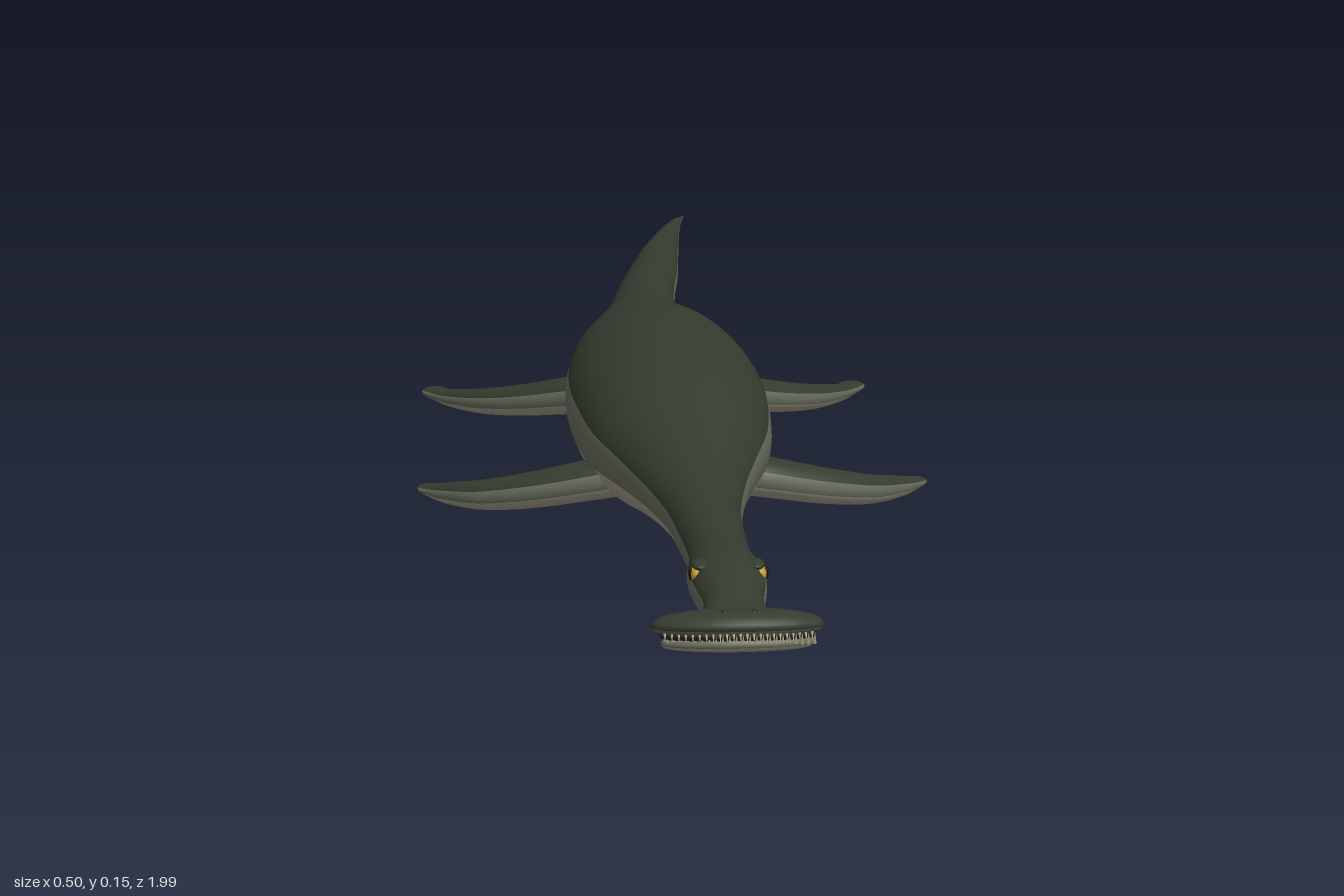
import * as THREE from 'three';

const mat = (name, color) => Object.assign(new THREE.MeshStandardMaterial({ color }), { name });

// Smooth tube through stations [x, y, z, half width, half height],
// split lengthwise into back, flank and belly bands (one material each).
function loft(name, stations, steps, mats, bandLow = -15, bandHigh = 15, segs = 48) {
  const path = new THREE.CatmullRomCurve3(stations.map(s => new THREE.Vector3(s[0], s[1], s[2])), false, 'catmullrom', 0.5);
  const size = new THREE.CatmullRomCurve3(stations.map(s => new THREE.Vector3(s[3], s[4], 0)), false, 'catmullrom', 0.5);
  const pos = [];
  for (let i = 0; i <= steps; i++) {
    const t = i / steps, p = path.getPoint(t), r = size.getPoint(t);
    const d = path.getTangent(t).setY(0).normalize();
    const w = Math.max(r.x, 0.0004), h = Math.max(r.y, 0.0004);
    for (let j = 0; j < segs; j++) {
      const a = (j / segs) * Math.PI * 2, c = Math.cos(a) * w;
      pos.push(p.x + d.z * c, p.y + Math.sin(a) * h, p.z - d.x * c);
    }
  }
  const bands = [[], [], []];
  for (let j = 0; j < segs; j++) {
    const deg = THREE.MathUtils.radToDeg(Math.asin(Math.sin(((j + 0.5) / segs) * Math.PI * 2)));
    const band = bands[deg > bandHigh ? 0 : deg > bandLow ? 1 : 2];
    for (let i = 0; i < steps; i++) {
      const k = (j + 1) % segs, a = i * segs + j, b = i * segs + k;
      band.push(a, b, a + segs, b, b + segs, a + segs);
    }
  }
  const geo = new THREE.BufferGeometry();
  geo.setAttribute('position', new THREE.Float32BufferAttribute(pos, 3));
  geo.setIndex(bands.flat());
  let start = 0;
  bands.forEach((b, m) => { geo.addGroup(start, b.length, m); start += b.length; });
  geo.computeVertexNormals();
  const mesh = new THREE.Mesh(geo, mats);
  mesh.name = name;
  return mesh;
}

export function createModel() {
  const root = new THREE.Group();
  root.name = 'swimmingReptile';
  const back = mat('dark green back', 0x353c2f);
  const flank = mat('grey green flank', 0x666c5b);
  const belly = mat('pale belly', 0xa09a88);
  const mouth = mat('dark mouth', 0x2a2620);
  const tooth = mat('ivory teeth', 0xb9b196);
  const eye = mat('amber eye', 0xc2962a);
  const pupil = mat('black pupil', 0x0d0d0b);
  const skin = [back, flank, belly];

  // Head, neck, trunk and tail in one skin
  root.add(loft('body', [
    [0, 0.08, 0.978, 0.022, 0.01],
    [0, 0.081, 0.95, 0.028, 0.016],
    [0, 0.083, 0.92, 0.026, 0.02],
    [0, 0.087, 0.88, 0.031, 0.025],
    [0, 0.088, 0.84, 0.033, 0.026],
    [0, 0.086, 0.78, 0.028, 0.025],
    [0, 0.083, 0.68, 0.03, 0.026],
    [0, 0.081, 0.6, 0.034, 0.029],
    [0, 0.079, 0.5, 0.047, 0.037],
    [0, 0.078, 0.4, 0.066, 0.049],
    [0, 0.077, 0.3, 0.086, 0.064],
    [0, 0.077, 0.2, 0.096, 0.074],
    [0, 0.077, 0.1, 0.1, 0.077],
    [0, 0.077, 0, 0.096, 0.075],
    [0, 0.076, -0.1, 0.085, 0.068],
    [0, 0.075, -0.2, 0.066, 0.055],
    [0.003, 0.075, -0.3, 0.047, 0.043],
    [0.008, 0.076, -0.4, 0.036, 0.036],
    [0.018, 0.077, -0.5, 0.032, 0.029],
    [0.031, 0.078, -0.6, 0.029, 0.023],
    [0.046, 0.079, -0.72, 0.023, 0.017],
    [0.063, 0.08, -0.84, 0.015, 0.011],
    [0.08, 0.08, -0.94, 0.007, 0.006],
    [0.095, 0.08, -1, 0.0005, 0.0005],
  ], 120, skin));

  // Hammer-shaped jaws: bars running across the snout
  const jawBar = (name, y, z, span, depth, height, mats) => {
    const rows = [-1, -0.94, -0.8, -0.55, -0.25, 0, 0.25, 0.55, 0.8, 0.94, 1].map(u => {
      const f = Math.sqrt(1 - u * u);
      return [u * span, y - 0.005 * u * u, z - 0.014 * u * u, depth * Math.pow(f, 0.8), height * Math.pow(f, 0.7)];
    });
    return loft(name, rows, 48, mats, -15, 15, 24);
  };
  root.add(jawBar('upperJaw', 0.085, 0.97, 0.07, 0.022, 0.011, [back, back, flank]));
  root.add(jawBar('mouthLining', 0.077, 0.969, 0.064, 0.018, 0.008, [mouth, mouth, mouth]));
  root.add(jawBar('lowerJaw', 0.069, 0.966, 0.062, 0.02, 0.009, [flank, flank, belly]));

  // Comb of small teeth along the front edge
  const teeth = new THREE.Group();
  teeth.name = 'teeth';
  const coneGeo = new THREE.ConeGeometry(0.0019, 0.012, 6);
  const count = 23;
  for (let i = 0; i < count; i++) {
    const u = (i / (count - 1)) * 2 - 1;
    for (const upper of [true, false]) {
      const t = new THREE.Mesh(coneGeo, tooth);
      t.name = upper ? 'upperTooth' : 'lowerTooth';
      t.position.set(u * 0.06 + (upper ? 0 : 0.0025), (upper ? 0.078 : 0.074) - 0.004 * u * u,
        0.99 - 0.02 * u * u - (upper ? 0 : 0.004));
      t.rotation.x = upper ? Math.PI - 0.6 : 0.5;
      teeth.add(t);
    }
  }
  root.add(teeth);

  for (const s of [1, -1]) {
    const side = s > 0 ? 'left' : 'right';

    // Eye with a slit pupil and a brow above it
    const ball = new THREE.SphereGeometry(1, 20, 14);
    const part = (name, m, p, sc) => {
      const mesh = new THREE.Mesh(ball, m);
      mesh.name = side + name;
      mesh.position.set(s * p[0], p[1], p[2]);
      mesh.scale.set(...sc);
      root.add(mesh);
    };
    part('Eye', eye, [0.0265, 0.099, 0.866], [0.006, 0.0065, 0.009]);
    part('Pupil', pupil, [0.0315, 0.0995, 0.868], [0.0018, 0.005, 0.0025]);
    part('Brow', back, [0.0235, 0.106, 0.862], [0.007, 0.004, 0.014]);
    part('Nostril', mouth, [0.012, 0.0945, 0.975], [0.003, 0.002, 0.003]);

    // Swept-back paddle limbs
    const limb = (name, rows) => root.add(loft(side + name, rows.map(r => [s * r[0], ...r.slice(1)]), 40, skin, -20, 20, 32));
    limb('FrontFlipper', [
      [0.045, 0.055, 0.292, 0.026, 0.022],
      [0.09, 0.045, 0.284, 0.025, 0.02],
      [0.14, 0.033, 0.268, 0.021, 0.018],
      [0.185, 0.023, 0.243, 0.017, 0.015],
      [0.218, 0.018, 0.214, 0.012, 0.011],
      [0.234, 0.017, 0.197, 0.011, 0.007],
      [0.242, 0.018, 0.188, 0.011, 0.004],
      [0.248, 0.019, 0.181, 0.0005, 0.0005],
    ]);
    limb('HindFlipper', [
      [0.045, 0.053, -0.085, 0.027, 0.022],
      [0.085, 0.044, -0.115, 0.026, 0.02],
      [0.13, 0.033, -0.147, 0.021, 0.017],
      [0.17, 0.024, -0.184, 0.017, 0.014],
      [0.203, 0.018, -0.227, 0.013, 0.01],
      [0.218, 0.017, -0.252, 0.013, 0.007],
      [0.227, 0.018, -0.269, 0.014, 0.005],
      [0.232, 0.018, -0.28, 0.0005, 0.0005],
    ]);
  }
  return root;
}
